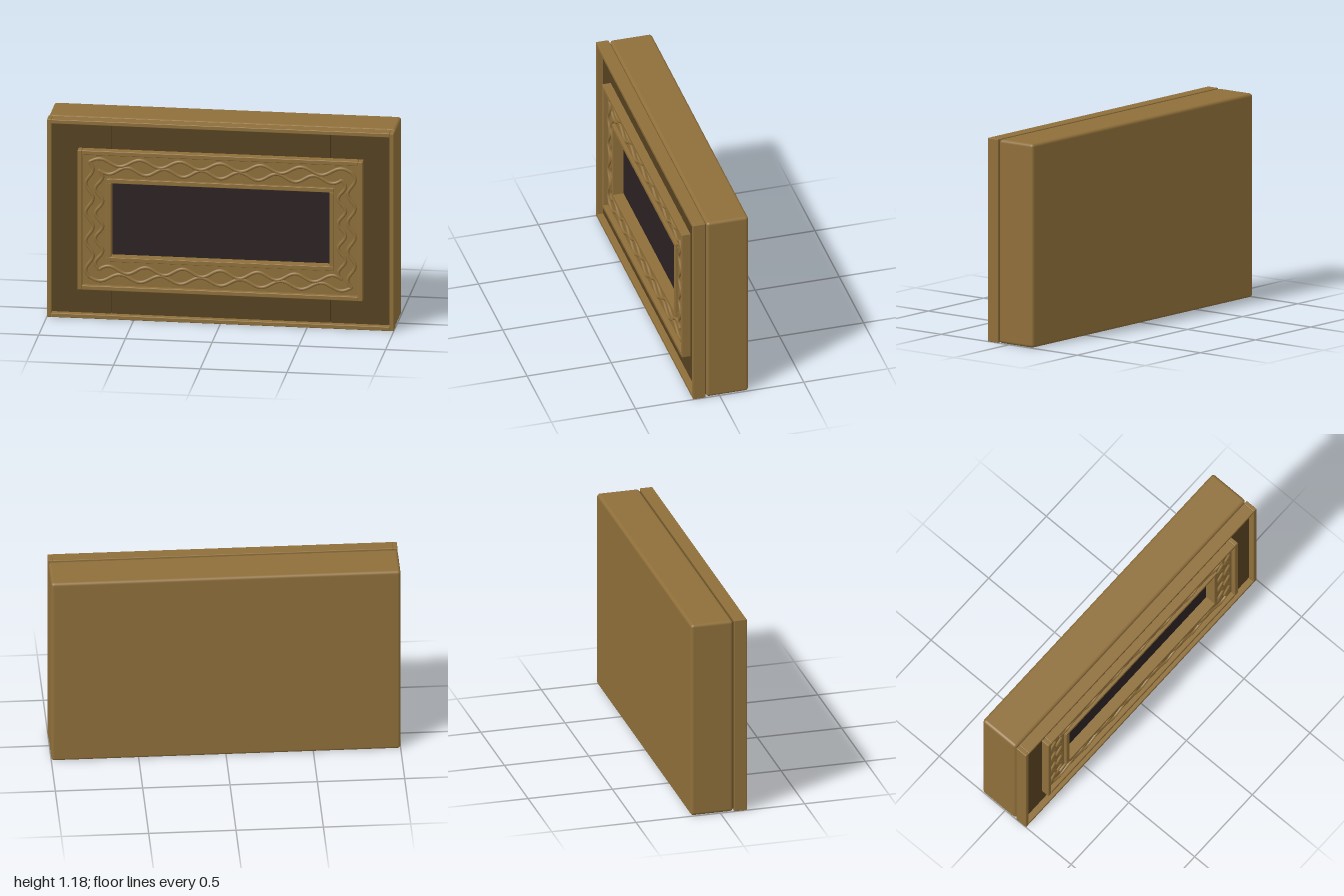
import * as THREE from 'three';
import { RoundedBoxGeometry } from 'three/addons/geometries/RoundedBoxGeometry.js';

const CY = 0.593; // mid height of the case

export function createModel() {
  const wood = new THREE.MeshStandardMaterial({ color: 0x8f6f3a });
  wood.name = 'wood';
  const darkWood = new THREE.MeshStandardMaterial({ color: 0x56411f });
  darkWood.name = 'dark wood';
  const glass = new THREE.MeshStandardMaterial({ color: 0x2b2122 });
  glass.name = 'dark glass';

  const root = new THREE.Group();
  root.name = 'framedCase';

  // Block given by its limits on each axis, optionally with rounded edges
  function block(parent, name, mat, x0, x1, y0, y1, z0, z1, r = 0) {
    const w = x1 - x0, h = y1 - y0, d = z1 - z0;
    const geo = r ? new RoundedBoxGeometry(w, h, d, 3, r) : new THREE.BoxGeometry(w, h, d);
    const m = new THREE.Mesh(geo, mat);
    m.position.set((x0 + x1) / 2, (y0 + y1) / 2, (z0 + z1) / 2);
    m.name = name;
    parent.add(m);
  }

  // Four strips around a rectangle; the upright ones run the full height
  function border(name, hx, y0, y1, t, z0, z1, r, uprightFull = true) {
    const g = new THREE.Group();
    g.name = name;
    const ix = uprightFull ? hx - t : hx, iy = uprightFull ? 0 : t;
    for (const s of [-1, 1]) {
      const a = s < 0 ? -hx : hx - t;
      block(g, 'uprightStrip', wood, a, a + t, y0 + iy, y1 - iy, z0, z1, r);
    }
    block(g, 'bottomStrip', wood, -ix, ix, y0, y0 + t, z0, z1, r);
    block(g, 'topStrip', wood, -ix, ix, y1 - t, y1, z0, z1, r);
    root.add(g);
  }

  // Main case and the recessed seam behind the front frame
  block(root, 'caseBody', wood, -1, 1, 0, 1.185, -0.173, 0.077, 0.018);
  block(root, 'seam', darkWood, -0.985, 0.985, 0.015, 1.17, 0.06, 0.095);
  border('outerFrame', 1, 0, 1.185, 0.025, 0.083, 0.158, 0.004);

  // Dark panel boards with narrow joints
  for (const s of [-1, 1]) {
    const a = s < 0 ? -0.98 : 0.633;
    block(root, 'sidePanel', darkWood, a, a + 0.347, 0.015, 1.17, 0.09, 0.122);
  }
  block(root, 'bottomPanel', darkWood, -0.629, 0.629, 0.015, 0.36, 0.09, 0.122);
  block(root, 'topPanel', darkWood, -0.629, 0.629, 0.83, 1.17, 0.09, 0.122);

  // Window
  block(root, 'windowGlass', glass, -0.64, 0.64, 0.36, 0.83, 0.09, 0.1);

  // Flat field of the ornamental frame
  const field = new THREE.Shape([
    new THREE.Vector2(-0.81, 0.185), new THREE.Vector2(0.81, 0.185),
    new THREE.Vector2(0.81, 1.005), new THREE.Vector2(-0.81, 1.005)]);
  field.holes.push(new THREE.Path([
    new THREE.Vector2(-0.64, 0.36), new THREE.Vector2(-0.64, 0.83),
    new THREE.Vector2(0.64, 0.83), new THREE.Vector2(0.64, 0.36)]));
  const fieldMesh = new THREE.Mesh(
    new THREE.ExtrudeGeometry(field, { depth: 0.045, bevelEnabled: false }), wood);
  fieldMesh.position.z = 0.1;
  fieldMesh.name = 'ornamentField';
  root.add(fieldMesh);

  // Raised edging outside and inside the ornament
  border('ornamentEdge', 0.822, 0.176, 1.012, 0.026, 0.115, 0.173, 0.004);
  border('windowEdge', 0.655, 0.348, 0.844, 0.026, 0.098, 0.164, 0.003, false);

  // Two closed wavy cords; they cross phases on the long sides
  function cord(name, hx, hy, sign) {
    const pts = [];
    const amp = 0.021, n = 104, m = 56;
    const side = (count, waves, place) => {
      for (let i = 0; i < count; i++) {
        const t = i / count;
        place(t * 2 - 1, amp * Math.sin(t * waves * Math.PI * 2));
      }
    };
    const add = (x, y) => pts.push(new THREE.Vector3(x, CY + y, 0.147));
    side(n, 6.5, (u, w) => add(u * hx, hy + sign * w));
    side(m, 4, (u, w) => add(hx + w, -u * hy));
    side(n, 6.5, (u, w) => add(-u * hx, -hy - sign * w));
    side(m, 4, (u, w) => add(-hx - w, u * hy));
    const path = new THREE.CatmullRomCurve3(pts, true);
    const mesh = new THREE.Mesh(new THREE.TubeGeometry(path, 640, 0.01, 8, true), wood);
    mesh.name = name;
    root.add(mesh);
  }
  cord('outerCord', 0.755, 0.345, 1);
  cord('innerCord', 0.7, 0.297, -1);

  return root;
}
